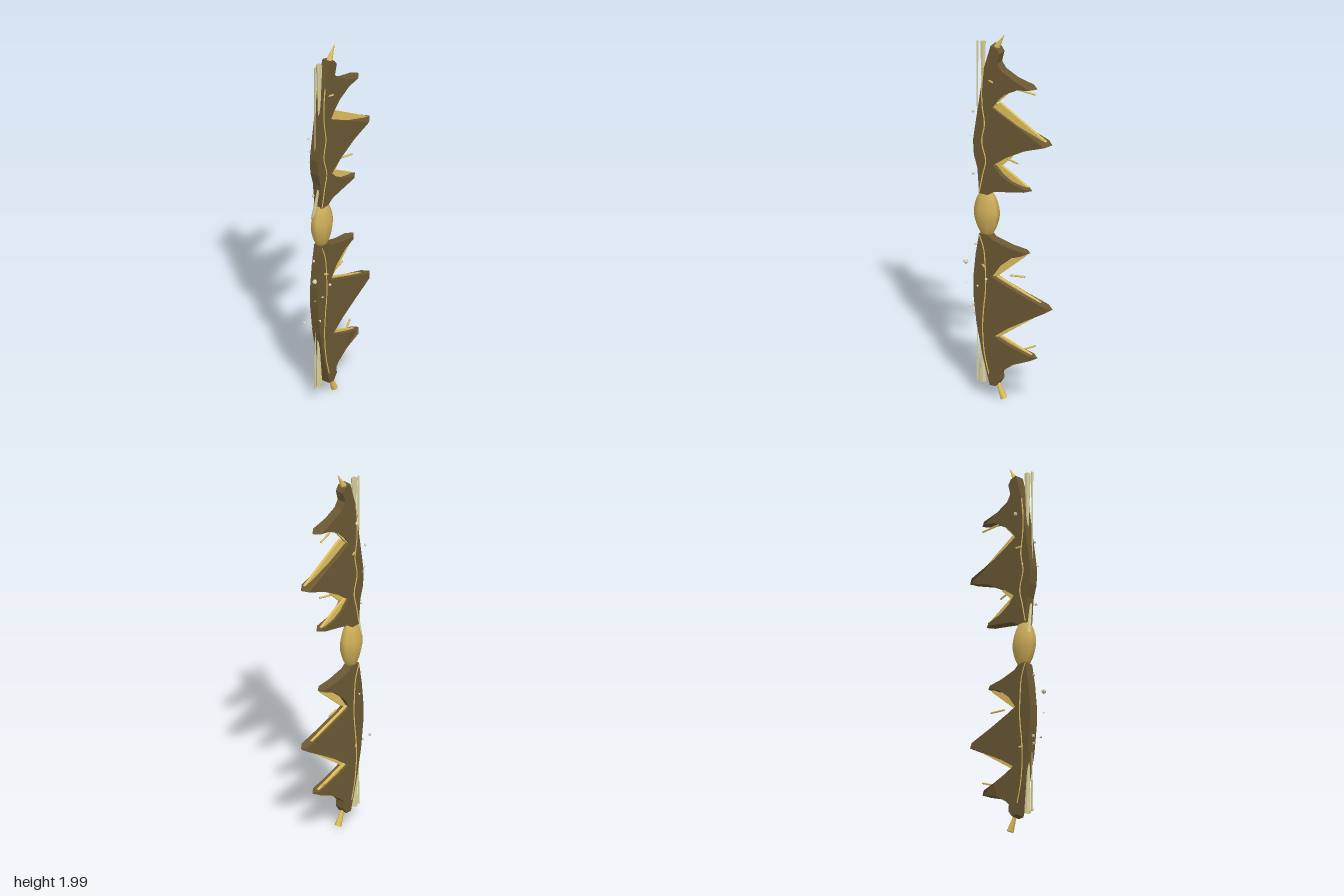
import * as THREE from 'three';

const mat = (color) => new THREE.MeshStandardMaterial({ color, side: THREE.DoubleSide });
const flat = (color) => { const m = mat(color); m.flatShading = true; return m; };
const V = (x, y, z) => new THREE.Vector3(x, y, z);

export function createModel() {
  const root = new THREE.Group();
  const bark = mat(0x6b5833), gold = mat(0xdfbf5c), grip = mat(0xcdae58);
  const bone = flat(0xd8d09a), chip = flat(0xd6d6bc);

  const add = (name, geometry, material, parent = root) => {
    const mesh = new THREE.Mesh(geometry, material);
    mesh.name = name;
    parent.add(mesh);
    return mesh;
  };

  // Extrude a (z, y) outline across x, centred on the given x
  const plate = (points, width, cx = 0) => {
    const shape = new THREE.Shape(points.map(([z, y]) => new THREE.Vector2(z, y)));
    return new THREE.ExtrudeGeometry(shape, { depth: width, bevelEnabled: false })
      .rotateY(-Math.PI / 2).translate(cx + width / 2, 0, 0);
  };

  // Straight round or tapered bar between two points
  const bar = (name, a, b, r0, r1, sides, material, open = false) => {
    const d = b.clone().sub(a);
    const mesh = add(name, new THREE.CylinderGeometry(r1, r0, d.length(), sides, 1, open), material);
    mesh.position.copy(a).add(b).multiplyScalar(0.5);
    mesh.quaternion.setFromUnitVectors(V(0, 1, 0), d.normalize());
    return mesh;
  };

  // Limb: outline with thorns whose tips are pinched to a chisel point
  const limb = (name, outline, tips) => {
    const pts = [];
    outline.forEach((p, i) => {
      if (!tips.includes(i)) return pts.push(p);
      const toward = (q) => {
        const k = 0.036 / Math.hypot(q[0] - p[0], q[1] - p[1]);
        return [p[0] + (q[0] - p[0]) * k, p[1] + (q[1] - p[1]) * k];
      };
      pts.push(toward(outline[i - 1]), p, toward(outline[i + 1]));
    });
    const geo = plate(pts, 0.05);
    const pos = geo.attributes.position;
    for (let i = 0; i < pos.count; i++) {
      const hit = tips.some((t) => Math.hypot(pos.getZ(i) - outline[t][0], pos.getY(i) - outline[t][1]) < 0.001);
      if (hit) pos.setX(i, 0);
    }
    geo.computeVertexNormals();
    add(name, geo, bark);
  };

  limb('upperLimb', [
    [0.1, 1.935], [0.065, 1.925], [0.048, 1.9], [0.062, 1.845], [0.04, 1.81], [-0.03, 1.775],
    [-0.155, 1.745], [-0.05, 1.725], [0.02, 1.685], [0.065, 1.64], [0.095, 1.6], [0.05, 1.575], [-0.05, 1.525],
    [-0.24, 1.458], [-0.09, 1.4], [0.015, 1.34], [0.085, 1.285], [0.05, 1.245], [-0.01, 1.21],
    [-0.125, 1.182], [0, 1.157], [0.08, 1.14], [0.115, 1.115], [0.165, 1.115],
    [0.175, 1.25], [0.195, 1.32], [0.2, 1.4], [0.185, 1.5], [0.165, 1.63], [0.14, 1.8],
  ], [6, 13, 19]);
  limb('lowerLimb', [
    [0.165, 0.895], [0.115, 0.895], [0.09, 0.875], [0, 0.852],
    [-0.115, 0.84], [-0.02, 0.8], [0.05, 0.74], [0.095, 0.672], [0.04, 0.65], [-0.08, 0.608],
    [-0.24, 0.56], [-0.1, 0.475], [0, 0.412], [0.08, 0.35], [0.02, 0.325], [-0.05, 0.302],
    [-0.155, 0.275], [-0.03, 0.22], [0.03, 0.175], [0.052, 0.15], [0.048, 0.115], [0.072, 0.08], [0.105, 0.08],
    [0.145, 0.23], [0.18, 0.4], [0.197, 0.55], [0.197, 0.66], [0.185, 0.78],
  ], [4, 10, 16]);

  // Golden slivers lining the thorn edges
  [
    [[0.055, 1.63], [-0.21, 1.472], [-0.05, 1.51], [0.1, 1.59]],
    [[0.01, 1.7], [0.03, 1.665], [0.1, 1.59], [0.07, 1.66]],
    [[0.005, 1.365], [-0.02, 1.35], [0.045, 1.285], [0.1, 1.285]],
    [[0.1, 1.3], [0.04, 1.275], [-0.1, 1.195], [0, 1.2]],
    [[-0.1, 0.84], [-0.085, 0.815], [0.065, 0.68], [0.1, 0.672], [0.05, 0.75]],
    [[0.1, 0.68], [0.05, 0.662], [-0.2, 0.57], [-0.05, 0.59]],
    [[-0.2, 0.54], [0.055, 0.35], [0.09, 0.345], [0, 0.425]],
    [[0.09, 0.355], [0.04, 0.345], [-0.12, 0.285], [0, 0.305]],
  ].forEach((p, i) => add('thornLining' + (i + 1), plate(p, 0.014, i % 2 ? -0.006 : 0.006), gold));

  // Grip: eight-sided barrel
  const barrel = new THREE.SplineCurve([[0.03, 0.893], [0.049, 0.93], [0.062, 0.975], [0.066, 1.01],
    [0.062, 1.045], [0.049, 1.09], [0.03, 1.122]].map(([r, y]) => new THREE.Vector2(r, y))).getPoints(14);
  const profile = [new THREE.Vector2(0, 0.893), ...barrel, new THREE.Vector2(0, 1.122)];
  const gripGeo = new THREE.LatheGeometry(profile, 8, Math.PI / 8).scale(0.74, 1, 1.05);
  add('grip', gripGeo, grip).position.z = 0.135;

  // Horn at the top, flared stub at the bottom
  bar('topHorn', V(0, 1.92, 0.08), V(0, 2, 0.035), 0.017, 0.001, 8, gold);
  bar('bottomStub', V(0, 0.1, 0.075), V(0, 0.014, 0.037), 0.007, 0.018, 8, gold);

  // Hollow splints and cords in front of each limb end
  bar('upperSplint', V(0, 1.6, 0.158), V(0, 1.935, 0.157), 0.004, 0.016, 6, bone, true);
  bar('lowerSplint', V(0, 0.36, 0.165), V(0, 0.08, 0.157), 0.005, 0.017, 6, bone, true);
  bar('upperCord', V(0, 1.45, 0.19), V(0, 1.935, 0.189), 0.002, 0.006, 6, bone);
  bar('lowerCord', V(0, 0.4, 0.187), V(0, 0.08, 0.189), 0.002, 0.006, 6, bone);
  bar('gripSplint', V(-0.018, 1.05, 0.182), V(0.008, 1.22, 0.174), 0.011, 0.006, 6, bone);

  // Wavy vines on both sides of the limbs
  const vines = {
    upperVine: [[1.8, 0.14], [1.7, 0.15], [1.6, 0.148], [1.5, 0.135], [1.4, 0.15], [1.3, 0.128], [1.22, 0.145], [1.12, 0.165]],
    lowerVine: [[0.89, 0.165], [0.82, 0.14], [0.72, 0.13], [0.6, 0.128], [0.48, 0.14], [0.38, 0.145], [0.25, 0.135], [0.14, 0.11]],
  };
  for (const [name, pts] of Object.entries(vines)) {
    for (const s of [-1, 1]) {
      const curve = new THREE.CatmullRomCurve3(pts.map(([y, z]) => V(s * 0.025, y, z)));
      add(name + (s > 0 ? 'Left' : 'Right'), new THREE.TubeGeometry(curve, 48, 0.0035, 5), gold);
    }
  }

  // Loose twigs in the notches and short pegs through the sides
  [
    [-0.012, 1.712, -0.03, -0.03, 1.697, -0.125], [0.012, 1.332, 0.01, 0.035, 1.332, -0.062],
    [-0.012, 0.686, 0.01, -0.032, 0.686, -0.065], [-0.012, 0.3, -0.07, -0.032, 0.322, -0.125],
    [0.02, 1.742, 0.115, 0.034, 1.742, 0.085], [-0.02, 1.535, 0.145, -0.034, 1.532, 0.11],
    [0.02, 0.73, 0.15, 0.036, 0.725, 0.13], [-0.02, 0.44, 0.15, -0.034, 0.436, 0.13],
  ].forEach(([a, b, c, d, e, f], i) => bar('twig' + (i + 1), V(a, b, c), V(d, e, f), 0.005, 0.005, 5, gold));

  // Floating splinters: x, y, z, size
  const splinters = new THREE.Group();
  splinters.name = 'splinters';
  root.add(splinters);
  [
    [-0.05, 1.71, 0.122, 0.01], [-0.05, 1.42, 0.17, 0.007], [0.047, 0.495, 0.205, 0.009],
    [0.035, 0.73, 0.235, 0.013], [-0.036, 0.465, 0.232, 0.01], [-0.003, 1.405, 0.232, 0.007],
    [-0.015, 1.535, 0.222, 0.008], [0.005, 1.205, 0.21, 0.009], [0.036, 0.615, 0.232, 0.005],
    [0.038, 0.66, 0.118, 0.008], [-0.01, 0.44, 0.208, 0.009], [-0.04, 0.73, 0.15, 0.007],
    [0, 0.82, 0.2, 0.008], [0.033, 0.61, 0.17, 0.007],
  ].forEach(([x, y, z, r], i) => {
    const geo = [new THREE.IcosahedronGeometry(r), new THREE.OctahedronGeometry(r), new THREE.TetrahedronGeometry(r)][i % 3];
    const mesh = add('splinter' + (i + 1), geo, chip, splinters);
    mesh.position.set(x, y, z);
    mesh.rotation.set(i, i * 1.7, 0);
  });

  return root;
}
